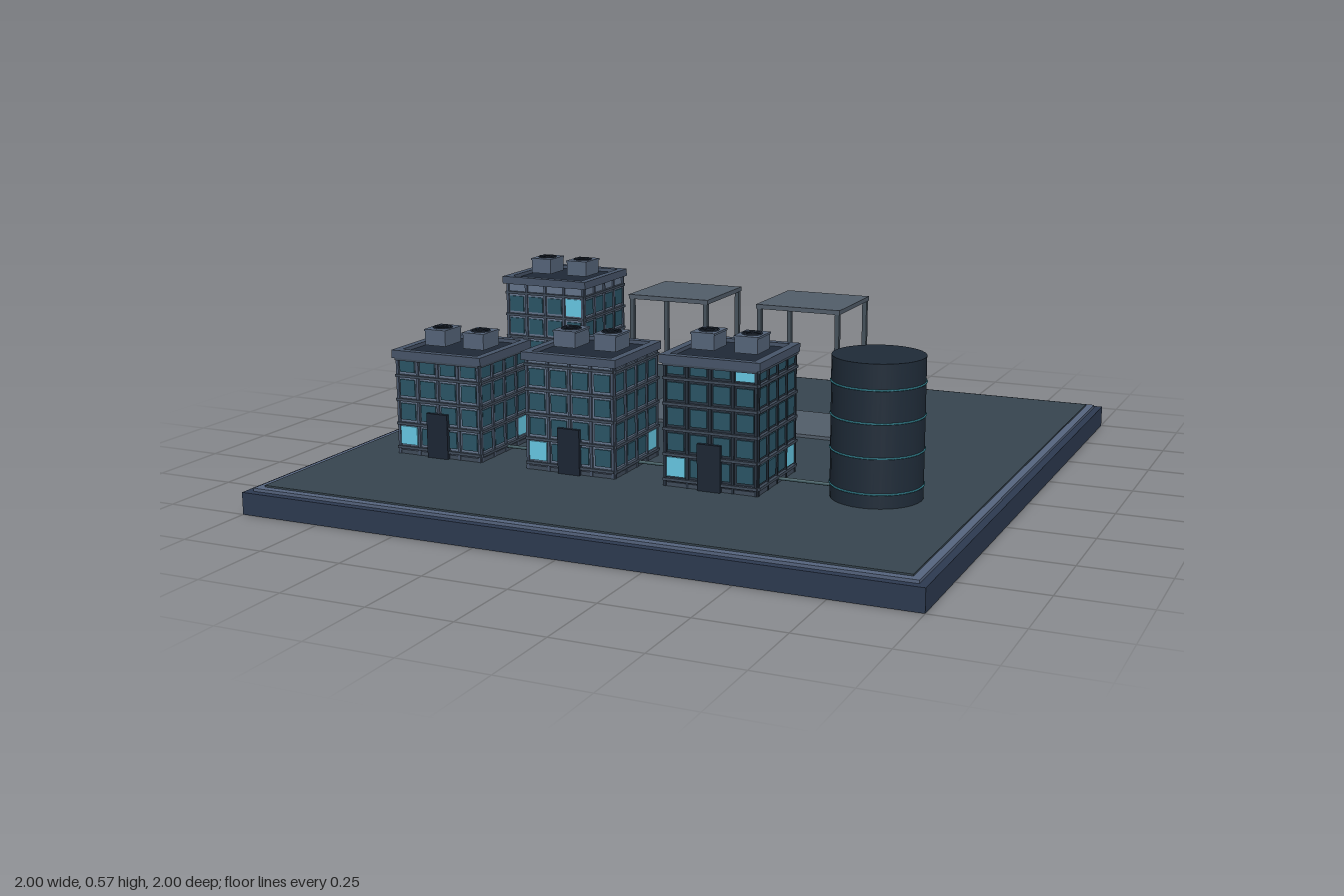
import * as THREE from 'three';

const mat = (color) => new THREE.MeshStandardMaterial({ color });
const M = {
  slab: mat(0x2d3a50), rim: mat(0x56657f), floor: mat(0x37454f), wall: mat(0x64748b),
  darkWall: mat(0x27323f), trim: mat(0x475569), ledge: mat(0x3f4b5a), roof: mat(0x1f2937),
  glass: mat(0x2a5566), lit: mat(0x67c8e4), unit: mat(0x56657a), door: mat(0x1c2634),
  plate: mat(0x525d69), post: mat(0x46525c), tank: mat(0x1f2b38), band: mat(0x2f7886), pipe: mat(0x3f5a60),
};
const GROUND = 0.08, FLOOR = 0.073, HALF = 0.14;

function add(parent, name, geometry, material, x = 0, y = 0, z = 0) {
  const mesh = new THREE.Mesh(geometry, material);
  mesh.name = name;
  mesh.position.set(x, y, z);
  parent.add(mesh);
  return mesh;
}
const box = (parent, name, w, h, d, material, x, y, z) =>
  add(parent, name, new THREE.BoxGeometry(w, h, d), material, x, y, z);

// Square raised border made of four bars
function border(parent, name, size, width, height, material, y) {
  const o = (size - width) / 2;
  for (const s of [-1, 1]) {
    box(parent, name, size, height, width, material, 0, y, s * o);
    box(parent, name, width, height, size - 2 * width, material, s * o, y, 0);
  }
}

// Window grid on a face that looks along +z
function facade(rows, top, litCells, isDark) {
  const g = new THREE.Group();
  g.name = 'facade';
  for (let r = 0; r < rows; r++) {
    const y = 0.137 + r * FLOOR;
    for (let c = 0; c < 4; c++) {
      const lit = litCells.some(([a, b]) => a === r && b === c);
      const s = lit ? 0.056 : 0.05;
      box(g, lit ? 'litWindow' : 'window', s, s, 0.006, lit ? M.lit : M.glass, -0.105 + c * 0.07, y, HALF + 0.001);
    }
    box(g, 'floorLedge', 0.286, 0.008, 0.012, M.ledge, 0, y - FLOOR / 2, HALF + 0.004);
  }
  box(g, 'floorLedge', 0.286, 0.008, 0.012, M.ledge, 0, Math.min(0.137 + (rows - 0.5) * FLOOR, top - 0.004), HALF + 0.004);
  for (let c = 0; c < 5; c++) {
    box(g, 'pilaster', 0.008, top - GROUND, 0.008, isDark ? M.darkWall : M.trim, -0.138 + c * 0.069, (top + GROUND) / 2, HALF + 0.002);
  }
  return g;
}

// Rooftop cooling unit with a fan
function roofUnit(x, y) {
  const g = new THREE.Group();
  g.name = 'roofUnit';
  g.position.set(x, y, 0);
  box(g, 'unitBody', 0.07, 0.046, 0.09, M.unit, 0, 0.023, 0);
  box(g, 'unitLid', 0.074, 0.006, 0.094, M.unit, 0, 0.046, 0);
  const ring = add(g, 'fanRing', new THREE.TorusGeometry(0.027, 0.003, 6, 24), M.roof, 0, 0.05, 0);
  ring.rotation.x = Math.PI / 2;
  add(g, 'fanHub', new THREE.CylinderGeometry(0.008, 0.008, 0.006, 12), M.roof, 0, 0.051, 0);
  for (let i = 0; i < 3; i++) {
    box(g, 'fanBlade', 0.05, 0.003, 0.006, M.roof, 0, 0.05, 0).rotation.y = i * Math.PI / 3;
  }
  return g;
}

function building(x, z, top, rows, frontLit, isDark = false) {
  const g = new THREE.Group();
  g.name = 'building';
  g.position.set(x, 0, z);
  box(g, 'walls', 2 * HALF, top - GROUND, 2 * HALF, isDark ? M.darkWall : M.wall, 0, (top + GROUND) / 2, 0);
  box(g, 'plinth', 0.288, 0.012, 0.288, M.ledge, 0, GROUND + 0.006, 0);

  // Windows on the front and on the +x side
  g.add(facade(rows, top, frontLit, isDark));
  const side = facade(rows, top, [[0, 3]], isDark);
  side.rotation.y = Math.PI / 2;
  g.add(side);
  box(g, 'door', 0.07, 0.135, 0.018, M.door, 0, GROUND + 0.0675, HALF + 0.006);

  // Roof with parapet and two cooling units
  box(g, 'roof', 0.27, 0.012, 0.27, M.roof, 0, top + 0.006, 0);
  border(g, 'parapet', 0.304, 0.024, 0.024, M.trim, top + 0.011);
  for (const s of [-1, 1]) g.add(roofUnit(s * 0.066, top + 0.022));
  return g;
}

// Open frame standing on an empty plot
function openFrame(x, z) {
  const g = new THREE.Group();
  g.name = 'openFrame';
  g.position.set(x, 0, z);
  box(g, 'frameFloor', 0.29, 0.01, 0.29, M.plate, 0, GROUND + 0.005, 0);
  box(g, 'frameTop', 0.275, 0.014, 0.275, M.plate, 0, 0.481, 0);
  for (const sx of [-1, 1]) for (const sz of [-1, 1]) {
    box(g, 'post', 0.014, 0.39, 0.014, M.post, sx * 0.128, 0.28, sz * 0.128);
  }
  return g;
}

function storageTank(x, z) {
  const g = new THREE.Group();
  g.name = 'storageTank';
  g.position.set(x, 0, z);
  add(g, 'tankBody', new THREE.CylinderGeometry(0.13, 0.13, 0.4, 32), M.tank, 0, 0.28, 0);
  for (const y of [0.12, 0.22, 0.316, 0.408]) {
    add(g, 'tankBand', new THREE.TorusGeometry(0.13, 0.003, 6, 48), M.band, 0, y, 0).rotation.x = Math.PI / 2;
  }
  return g;
}

export function createModel() {
  const model = new THREE.Group();
  model.name = 'cityBlock';

  // Ground slab, border and floor
  box(model, 'slab', 2, 0.065, 2, M.slab, 0, 0.0325, 0);
  box(model, 'floor', 1.91, 0.014, 1.91, M.floor, 0, 0.072, 0);
  border(model, 'groundBorder', 1.955, 0.026, 0.012, M.rim, 0.068);

  // Front row, back row and tank
  model.add(building(-0.66, 0.36, 0.374, 4, [[0, 0]]));
  model.add(building(-0.22, 0.36, 0.406, 4, [[0, 0]]));
  model.add(building(0.22, 0.36, 0.436, 5, [[0, 0], [4, 3]], true));
  model.add(building(-0.66, -0.30, 0.495, 5, [[0, 0], [4, 3]]));
  for (const x of [-0.22, 0.22]) model.add(openFrame(x, -0.30));
  model.add(storageTank(0.66, 0.36));

  // Pipes linking the front row
  for (const x of [-0.44, 0, 0.44]) {
    add(model, 'pipe', new THREE.CylinderGeometry(0.005, 0.005, 0.2, 8), M.pipe, x, 0.095, 0.355).rotation.z = Math.PI / 2;
  }
  return model;
}
